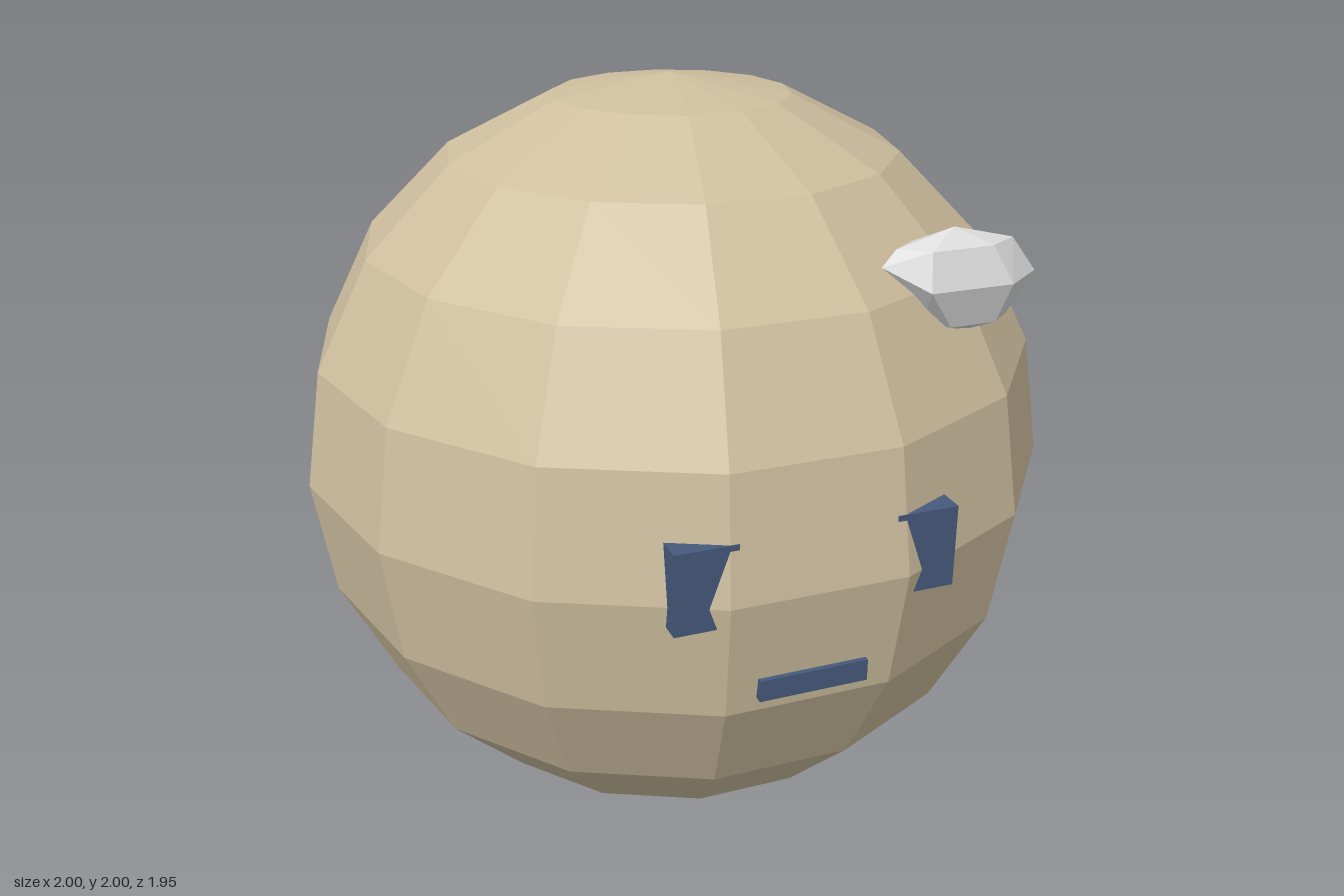
import * as THREE from 'three';
import { ConvexGeometry } from 'three/addons/geometries/ConvexGeometry.js';

const material = (name, color, flatShading) => {
  const m = new THREE.MeshStandardMaterial({ color, flatShading });
  m.name = name;
  return m;
};

export function createModel() {
  const group = new THREE.Group();
  const sand = material('sand', 0xcfbf9f, true);
  const navy = material('navy', 0x465a7c, true);
  const pale = material('paleGrey', 0xdcdcdc, true);

  const add = (name, geometry, mat, x = 0, y = 0, z = 0) => {
    const mesh = new THREE.Mesh(geometry, mat);
    mesh.name = name;
    mesh.position.set(x, y, z);
    group.add(mesh);
    return mesh;
  };

  // Faceted round body
  add('body', new THREE.SphereGeometry(1, 14, 10), sand, 0, 1, 0);

  // Face blocks, sunk into the body so only their outer parts emerge
  for (const side of [1, -1]) {
    add(side > 0 ? 'leftEye' : 'rightEye', new THREE.BoxGeometry(0.155, 0.205, 0.1), navy,
      side * 0.2725, 1.0475, 0.904);
  }
  add('mouth', new THREE.BoxGeometry(0.275, 0.055, 0.1), navy, 0, 0.7575, 0.905);

  // Small cut stone: lopsided six-sided rings between two tips
  // ring: left x, right x, left y, right y, half depth
  const rings = [
    [0.30, 0.61, 1.69, 1.69, 0.05],
    [0.265, 0.68, 1.65, 1.60, 0.08],
    [0.38, 0.61, 1.50, 1.50, 0.05],
  ];
  const points = [new THREE.Vector3(0.45, 1.73, 0), new THREE.Vector3(0.49, 1.47, 0)];
  for (const [x0, x1, y0, y1, depth] of rings) {
    points.push(new THREE.Vector3(x0, y0, 0), new THREE.Vector3(x1, y1, 0));
    for (const t of [0.22, 0.74]) {
      for (const s of [1, -1]) {
        points.push(new THREE.Vector3(x0 + (x1 - x0) * t, y1, s * depth));
      }
    }
  }
  add('stone', new ConvexGeometry(points), pale, 0, 0, 0.68);

  return group;
}
